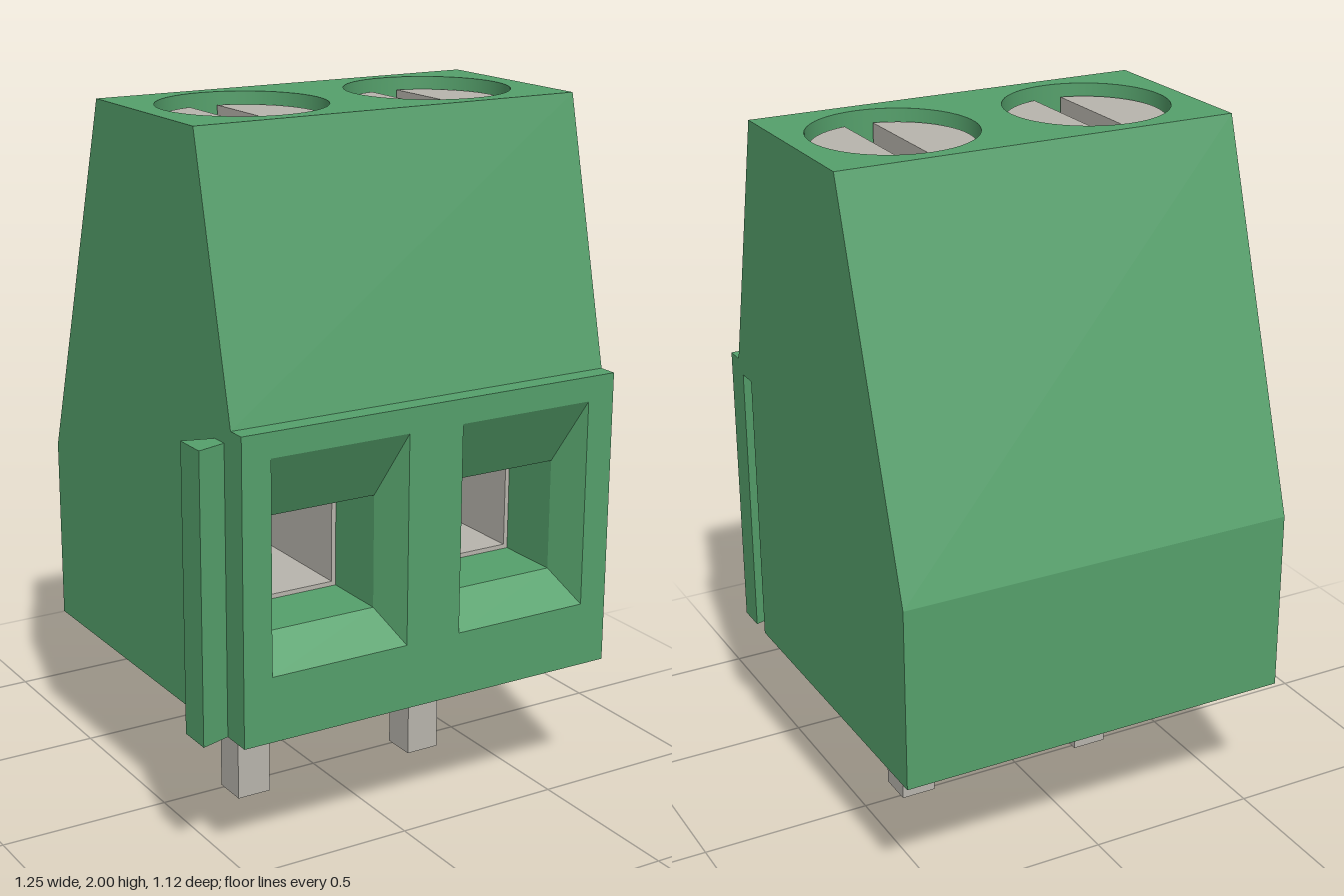
import * as THREE from 'three';
import { mergeGeometries, toCreasedNormals } from 'three/addons/utils/BufferGeometryUtils.js';

const green = new THREE.MeshStandardMaterial({ color: 0x55a06b, side: THREE.DoubleSide });
const metal = new THREE.MeshStandardMaterial({ color: 0xb8b5ad });

const X0 = -0.545, X1 = 0.625, BASE = 0.41, TOP = 2;
const POLES = [-0.252, 0.333]; // x centre of each terminal
const SCREW_Z = 0.055, WELL_R = 0.232, CAGE_TOP = 1.0;
const CAGE_FRONT = 0.27, CAGE_BACK = -0.2;

// Housing side profile as [z, y]
const PROFILE = [[0.565, BASE], [0.565, 1.26], [0.51, 1.26], [0.335, TOP], [-0.22, TOP], [-0.56, 0.94], [-0.56, BASE]];
// Dovetail groove section as [x, z]
const GROOVE = [[X1, 0.48], [0.54, 0.51], [0.54, 0.39], [X1, 0.42]];
const GROOVE_TOP = 1.22;

const shapeOf = (pts) => new THREE.Shape(pts.map(([x, y]) => new THREE.Vector2(x, y)));
const rect = (x0, y0, x1, y1) => [[x0, y0], [x1, y0], [x1, y1], [x0, y1]];

// Flat four-cornered panel, corners counter-clockwise from its visible side
function quad(a, b, c, d) {
  const g = new THREE.BufferGeometry();
  g.setAttribute('position', new THREE.Float32BufferAttribute([a, b, c, a, c, d].flat(), 3));
  g.computeVertexNormals();
  return g;
}

// Four inward-facing walls joining two rectangles at different depths
function tunnel(r0, z0, r1, z1) {
  return r0.map((p, i) => {
    const j = (i + 1) % 4;
    return quad([...p, z0], [...r0[j], z0], [...r1[j], z1], [...r1[i], z1]);
  });
}

function flat(shape) {
  const g = new THREE.ShapeGeometry(shape, 24).toNonIndexed();
  g.deleteAttribute('uv');
  return g;
}

function addMesh(parent, name, geometry, material) {
  const mesh = new THREE.Mesh(geometry, material);
  mesh.name = name;
  parent.add(mesh);
  return mesh;
}

function housingGeometry() {
  const parts = [];

  // Shelf, front slope, back slope and back wall
  for (const i of [1, 2, 4, 5]) {
    const [pz, py] = PROFILE[i], [qz, qy] = PROFILE[i + 1];
    parts.push(quad([X0, py, pz], [X1, py, pz], [X1, qy, qz], [X0, qy, qz]));
  }

  // Side walls, one notched by the groove
  parts.push(flat(shapeOf(PROFILE)).rotateY(-Math.PI / 2).translate(X0, 0, 0));
  const notch = [[0.42, BASE], [0.42, GROOVE_TOP], [0.48, GROOVE_TOP], [0.48, BASE]];
  const notched = [...PROFILE, ...notch].map(([z, y]) => [-z, y]);
  parts.push(flat(shapeOf(notched)).rotateY(Math.PI / 2).translate(X1, 0, 0));

  // Underside with the groove mouth
  const under = [[X0, 0.565], [X1, 0.565], ...GROOVE, [X1, -0.56], [X0, -0.56]];
  parts.push(flat(shapeOf(under)).rotateX(Math.PI / 2).translate(0, BASE, 0));

  // Groove walls and end
  for (let i = 0; i < 3; i++) {
    const [ax, az] = GROOVE[i], [bx, bz] = GROOVE[i + 1];
    parts.push(quad([ax, BASE, az], [ax, GROOVE_TOP, az], [bx, GROOVE_TOP, bz], [bx, BASE, bz]));
  }
  parts.push(flat(shapeOf(GROOVE)).rotateX(Math.PI / 2).translate(0, GROOVE_TOP, 0));

  // Front with wire openings, top with screw wells
  const front = shapeOf(rect(X0, BASE, X1, 1.26));
  const top = shapeOf(rect(X0, -0.335, X1, 0.22));
  for (const x of POLES) {
    const outer = rect(x - 0.208, 0.595, x + 0.208, 1.19);
    const inner = rect(x - 0.163, 0.68, x + 0.163, CAGE_TOP);
    front.holes.push(shapeOf(outer));
    top.holes.push(new THREE.Path().absarc(x, -SCREW_Z, WELL_R, 0, Math.PI * 2));

    // Funnel, straight passage and its end wall
    parts.push(...tunnel(outer, 0.565, inner, 0.465));
    parts.push(...tunnel(inner, 0.465, inner, CAGE_FRONT));
    parts.push(flat(shapeOf(inner)).translate(0, 0, CAGE_BACK));

    // Screw well wall and floor
    const wall = new THREE.CylinderGeometry(WELL_R, WELL_R, TOP - 0.995, 48, 1, true).toNonIndexed();
    wall.deleteAttribute('uv');
    parts.push(wall.translate(x, (TOP + 0.995) / 2, SCREW_Z));
    const floor = new THREE.CircleGeometry(WELL_R, 48).toNonIndexed();
    floor.deleteAttribute('uv');
    parts.push(floor.rotateX(-Math.PI / 2).translate(x, 0.995, SCREW_Z));
  }
  parts.push(flat(front).translate(0, 0, 0.565));
  parts.push(flat(top).rotateX(-Math.PI / 2).translate(0, TOP, 0));
  return mergeGeometries(parts);
}

// Slotted screw: a shank topped by two circular segments
function makeScrew() {
  const screw = new THREE.Group();
  screw.name = 'screw';
  const r = 0.22, half = 0.042, slotY = 1.875, headY = 1.965;
  const shank = new THREE.CylinderGeometry(r, r, slotY - CAGE_TOP, 48);
  addMesh(screw, 'screwShank', shank, metal).position.y = (slotY + CAGE_TOP) / 2;
  const a = Math.acos(half / r);
  for (const turn of [0, Math.PI]) {
    const segment = new THREE.Shape().absarc(0, 0, r, -a, a);
    const g = new THREE.ExtrudeGeometry(segment, { depth: headY - slotY, bevelEnabled: false, curveSegments: 24 });
    g.rotateX(-Math.PI / 2).rotateY(turn).translate(0, slotY, 0);
    addMesh(screw, 'screwHeadHalf', toCreasedNormals(g, 0.5), metal);
  }
  return screw;
}

export function createModel() {
  const model = new THREE.Group();
  model.name = 'terminalBlock';
  addMesh(model, 'housing', housingGeometry(), green);

  // Dovetail rail on the side
  const rail = shapeOf([[-0.63, 0.4], [X0, 0.425], [X0, 0.475], [-0.63, 0.5]]);
  const railGeometry = new THREE.ExtrudeGeometry(rail, { depth: GROOVE_TOP - BASE, bevelEnabled: false });
  addMesh(model, 'dovetailRail', railGeometry.rotateX(Math.PI / 2).translate(0, GROOVE_TOP, 0), green);

  for (const x of POLES) {
    const pole = new THREE.Group();
    pole.name = 'terminal';
    pole.position.x = x;

    // Wire clamp cage
    const cage = shapeOf(rect(-0.163, 0.68, 0.163, CAGE_TOP));
    cage.holes.push(shapeOf(rect(-0.15, 0.693, 0.15, 0.988)));
    const cageGeometry = new THREE.ExtrudeGeometry(cage, { depth: CAGE_FRONT - CAGE_BACK - 0.002, bevelEnabled: false });
    addMesh(pole, 'clampCage', cageGeometry.translate(0, 0, CAGE_BACK + 0.002), metal);

    const screw = makeScrew();
    screw.position.z = SCREW_Z;
    pole.add(screw);

    // Solder pin
    addMesh(pole, 'pin', new THREE.BoxGeometry(0.104, 0.43, 0.104), metal).position.set(0, 0.215, 0.036);
    model.add(pole);
  }
  return model;
}
